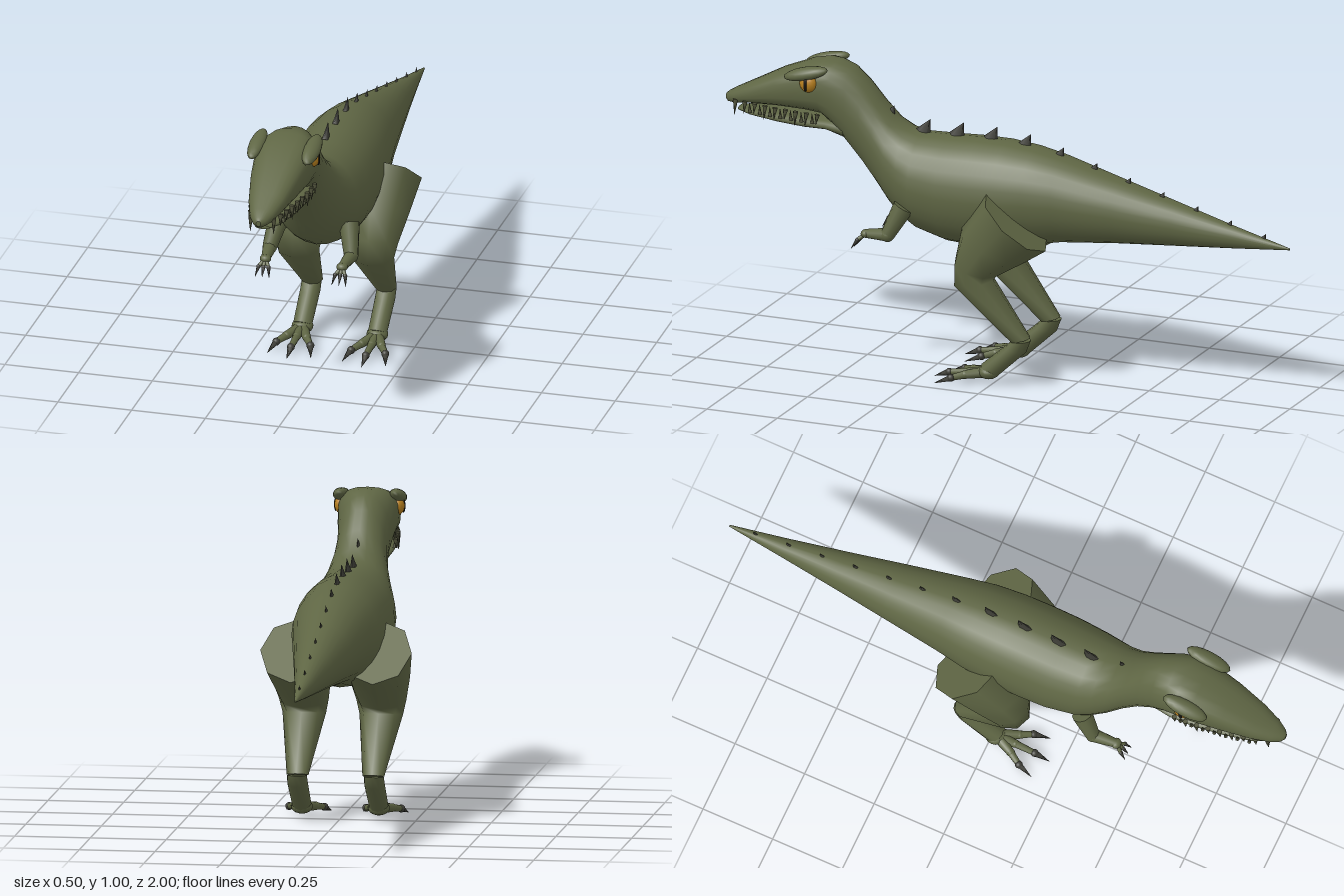
import * as THREE from 'three';

const V = (x, y, z) => new THREE.Vector3(x, y, z);

// Body sections: z, top y, bottom y, half width, roundness power
const BODY = [
  [-1, 0.553, 0.547, 0.003, 1], [-0.8, 0.605, 0.53, 0.032, 1], [-0.6, 0.66, 0.515, 0.063, 1],
  [-0.4, 0.715, 0.5, 0.096, 1], [-0.2, 0.77, 0.48, 0.128, 1], [-0.1, 0.79, 0.46, 0.145, 1],
  [0, 0.8, 0.44, 0.154, 1], [0.1, 0.8, 0.432, 0.156, 1], [0.2, 0.795, 0.438, 0.154, 1],
  [0.3, 0.792, 0.465, 0.143, 1], [0.35, 0.805, 0.495, 0.13, 1], [0.4, 0.835, 0.54, 0.112, 1],
  [0.45, 0.89, 0.6, 0.093, 1], [0.5, 0.95, 0.66, 0.085, 1], [0.55, 0.99, 0.72, 0.087, 0.95],
  [0.6, 1.003, 0.785, 0.095, 0.85], [0.64, 1.003, 0.822, 0.1, 0.75], [0.7, 0.99, 0.828, 0.099, 0.75],
  [0.8, 0.95, 0.828, 0.083, 0.75], [0.9, 0.897, 0.822, 0.061, 0.8], [0.96, 0.866, 0.812, 0.04, 0.9],
  [0.99, 0.848, 0.812, 0.022, 1], [1, 0.838, 0.82, 0.008, 1],
];

const JAW = [
  [0.56, 0.81, 0.745, 0.07, 1], [0.62, 0.812, 0.772, 0.083, 0.9], [0.7, 0.812, 0.77, 0.08, 0.9],
  [0.8, 0.81, 0.774, 0.068, 0.9], [0.9, 0.808, 0.782, 0.048, 0.9], [0.95, 0.804, 0.79, 0.025, 1],
];

// Value of a body section column at any z
function bodyAt(z, col) {
  let i = 0;
  while (i < BODY.length - 2 && BODY[i + 1][0] < z) i++;
  const a = BODY[i], b = BODY[i + 1], t = (z - a[0]) / (b[0] - a[0]);
  return a[col] + (b[col] - a[col]) * t;
}

// Smooth skin over a list of rings, with flat end caps
function loft(rings) {
  const n = rings[0].length, pts = rings.flat(), idx = [];
  for (let i = 0; i < rings.length - 1; i++) {
    for (let j = 0; j < n; j++) {
      const k = (j + 1) % n, a = i * n + j, b = i * n + k;
      idx.push(a, b, a + n, b, b + n, a + n);
    }
  }
  for (const last of [false, true]) {
    const ring = last ? rings[rings.length - 1] : rings[0];
    const base = pts.length;
    const mid = ring.reduce((s, p) => s.add(p), V(0, 0, 0)).divideScalar(n);
    pts.push(...ring, mid);
    for (let j = 0; j < n; j++) {
      const k = (j + 1) % n;
      idx.push(base + n, base + (last ? j : k), base + (last ? k : j));
    }
  }
  const g = new THREE.BufferGeometry().setFromPoints(pts);
  g.setIndex(idx);
  g.computeVertexNormals();
  return g;
}

const bodyLoft = (rows, n) => loft(rows.map(([z, top, bot, w, p]) =>
  Array.from({ length: n }, (_, j) => {
    const a = j / n * Math.PI * 2, c = Math.cos(a), s = Math.sin(a);
    const pw = v => Math.sign(v) * Math.abs(v) ** p;
    return V(w * pw(c), (top + bot) / 2 + (top - bot) / 2 * pw(s), z);
  })));

// Leg rings from rear point, front point, half width and centre x
const legLoft = (rows, side, n) => loft(rows.map(([zr, yr, zf, yf, rx, cx]) =>
  Array.from({ length: n }, (_, j) => {
    const a = j / n * Math.PI * 2, s = Math.sin(a);
    return V(side * cx + rx * Math.cos(a), (yr + yf) / 2 + (yf - yr) / 2 * s, (zr + zf) / 2 + (zf - zr) / 2 * s);
  })));

export function createModel() {
  const model = new THREE.Group();
  const mat = (name, color) => Object.assign(new THREE.MeshStandardMaterial({ color }), { name });
  const skin = mat('olive skin', 0x5f6644);
  const horn = mat('dark horn', 0x3d3d36);
  const toothMat = mat('dull tooth', 0x55573f);
  const amber = mat('amber eye', 0xb8801f);
  const black = mat('black pupil', 0x14120e);

  const add = (name, geo, material) => {
    const m = new THREE.Mesh(geo, material);
    m.name = name;
    model.add(m);
    return m;
  };
  // Tapered rod between two points
  const rod = (name, a, b, ra, rb, material, sides = 10) => {
    const d = b.clone().sub(a);
    const m = add(name, new THREE.CylinderGeometry(rb, ra, d.length(), sides), material);
    m.position.copy(a).addScaledVector(d, 0.5);
    m.quaternion.setFromUnitVectors(V(0, 1, 0), d.normalize());
    return m;
  };
  const ball = (name, p, rx, ry, rz, material) => {
    const m = add(name, new THREE.SphereGeometry(1, 16, 10), material);
    m.position.copy(p);
    m.scale.set(rx, ry, rz);
    return m;
  };

  add('body', bodyLoft(BODY, 24), skin);
  add('lowerJaw', bodyLoft(JAW, 16), skin);

  // Spikes along the spine
  const heights = [0.03, 0.06, 0.06, 0.055, 0.05, 0.036, 0.027, 0.025, 0.024, 0.022, 0.022, 0.02];
  heights.forEach((h, i) => {
    const z = 0.41 - i * 0.12;
    const m = add('backSpike', new THREE.ConeGeometry(h * 0.5, h, 6), horn);
    m.scale.x = 0.4;
    m.position.set(0, bodyAt(z, 1) + h * 0.3, z);
    m.rotation.x = -0.45;
  });

  for (const s of [1, -1]) {
    // Eye, slit pupil, brow and nostril
    ball('eye', V(s * 0.094, 0.938, 0.67), 0.022, 0.03, 0.03, amber);
    ball('pupil', V(s * 0.112, 0.938, 0.673), 0.006, 0.023, 0.007, black);
    const brow = ball('brow', V(s * 0.093, 0.97, 0.68), 0.028, 0.021, 0.08, skin);
    brow.rotation.set(0.25, 0, -s * 0.25);
    ball('nostril', V(s * 0.021, 0.873, 0.93), 0.004, 0.004, 0.006, black);

    // Teeth
    for (let i = 0; i < 9; i++) {
      const z = 0.64 + i * 0.039, x = s * bodyAt(z, 3) * 0.9;
      const len = i === 8 ? 0.05 : 0.03 + (i % 3) * 0.007;
      rod('upperTooth', V(x, 0.834, z), V(x * 1.03, 0.83 - len, z + 0.004), 0.009, 0.0005, toothMat, 6);
      if (i < 7) rod('lowerTooth', V(x * 0.93, 0.8, z + 0.02), V(x * 0.98, 0.835, z + 0.02), 0.007, 0.0005, toothMat, 6);
    }

    // Arm and clawed hand
    const shoulder = V(s * 0.118, 0.565, 0.322), elbow = V(s * 0.138, 0.47, 0.37), wrist = V(s * 0.13, 0.462, 0.45);
    rod('upperArm', shoulder, elbow, 0.035, 0.024, skin);
    ball('elbow', elbow, 0.024, 0.024, 0.024, skin);
    rod('forearm', elbow, wrist, 0.023, 0.015, skin);
    ball('hand', wrist, 0.019, 0.014, 0.017, skin);
    for (const k of [-1, 0, 1]) {
      const knuckle = V(wrist.x + k * 0.017, 0.442, 0.474);
      rod('finger', wrist, knuckle, 0.008, 0.006, skin, 6);
      ball('knuckle', knuckle, 0.007, 0.007, 0.007, horn);
      rod('fingerClaw', knuckle, V(wrist.x + k * 0.024, 0.412, 0.493), 0.007, 0.0005, horn, 6);
    }

    // Thigh and shank, then the upright part of the foot
    add('leg', legLoft([
      [-0.19, 0.482, 0.02, 0.66, 0.115, 0.135], [-0.11, 0.43, 0.108, 0.53, 0.102, 0.13],
      [-0.01, 0.37, 0.132, 0.42, 0.083, 0.128], [0, 0.355, 0.136, 0.335, 0.072, 0.127],
      [-0.13, 0.172, -0.066, 0.156, 0.036, 0.125],
    ], s, 8), skin);
    add('metatarsus', legLoft([
      [-0.133, 0.165, -0.068, 0.16, 0.033, 0.127], [-0.118, 0.125, -0.04, 0.135, 0.034, 0.127],
      [-0.015, 0.03, 0.04, 0.066, 0.032, 0.127],
    ], s, 12), skin);
    const ankle = V(s * 0.127, 0.042, 0.015);
    ball('footPad', ankle, 0.036, 0.024, 0.036, skin);

    // Three toes with claws
    for (const k of [-1, 0, 1]) {
      const reach = k ? 0.125 : 0.155;
      const joint = V(ankle.x + k * 0.034, 0.033, 0.085);
      const tip = V(ankle.x + k * 0.058, 0.024, reach);
      rod('toeBase', ankle, joint, 0.019, 0.014, skin, 8);
      ball('toeJoint', joint, 0.014, 0.014, 0.014, skin);
      rod('toe', joint, tip, 0.013, 0.01, skin, 8);
      ball('toeTip', tip, 0.013, 0.013, 0.013, horn);
      rod('toeClaw', tip, V(ankle.x + k * 0.074, 0.004, reach + 0.053), 0.012, 0.0005, horn, 6);
    }
  }
  return model;
}
